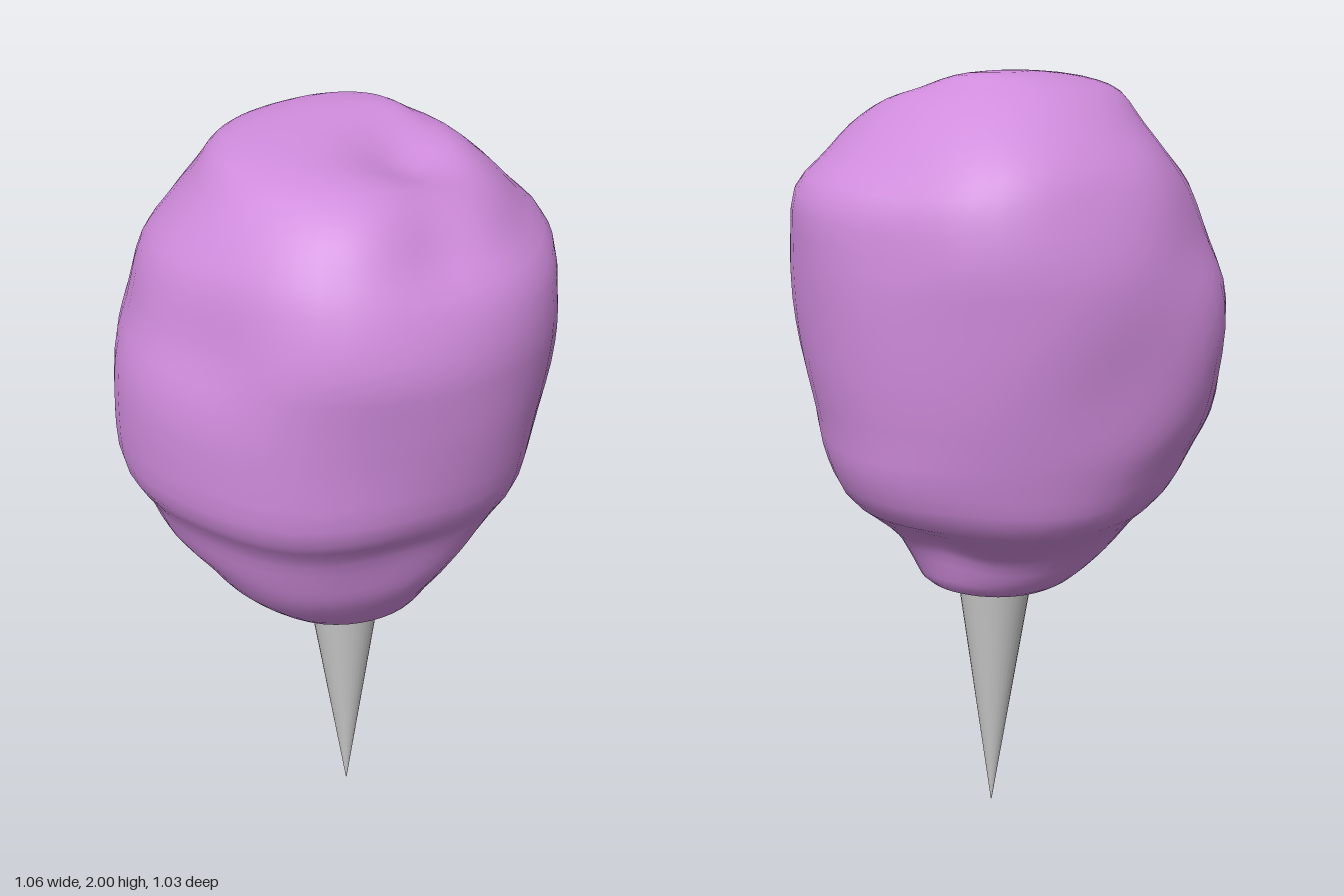
import * as THREE from 'three';

// Floss levels from bottom to top: [y, xMin, xMax, zMin, zMax]
const LEVELS = [
  [0.69, 0.03, 0.03, 0, 0], [0.69, -0.12, 0.13, -0.1, 0.1], [0.72, -0.17, 0.22, -0.19, 0.17],
  [0.77, -0.23, 0.25, -0.24, 0.25], [0.84, -0.31, 0.29, -0.28, 0.31], [0.92, -0.37, 0.36, -0.36, 0.37],
  [1.0, -0.44, 0.44, -0.44, 0.4], [1.1, -0.48, 0.48, -0.47, 0.43], [1.2, -0.525, 0.49, -0.49, 0.49],
  [1.35, -0.53, 0.51, -0.5, 0.5], [1.5, -0.52, 0.525, -0.51, 0.51], [1.61, -0.48, 0.525, -0.51, 0.515],
  [1.73, -0.44, 0.51, -0.48, 0.48], [1.81, -0.38, 0.43, -0.44, 0.44], [1.88, -0.32, 0.36, -0.37, 0.39],
  [1.94, -0.27, 0.29, -0.29, 0.3], [1.97, -0.19, 0.22, -0.24, 0.17], [1.995, -0.05, 0.14, -0.18, -0.03],
  [2.0, 0.05, 0.05, -0.11, -0.11],
];

// Local hollows (positive depth) and swellings (negative): [x, y, z, radius, depth]
const DENTS = [
  [0.16, 1.95, 0.12, 0.13, 0.06], [0.18, 1.86, 0.36, 0.1, 0.03],
  [0.42, 0.98, 0.18, 0.14, 0.04], [0.1, 1.0, 0.42, 0.16, 0.025],
  [-0.3, 1.62, 0.36, 0.14, 0.025], [0.36, 1.68, -0.36, 0.16, 0.025],
  [-0.36, 1.4, -0.38, 0.22, -0.035], [0.3, 1.45, 0.36, 0.22, -0.02],
  [-0.36, 0.95, -0.2, 0.14, 0.025], [0.25, 0.85, -0.2, 0.12, 0.03],
];

function flossGeometry(rows = 48, sides = 48) {
  const curve = (a, b) => new THREE.CatmullRomCurve3(
    LEVELS.map((l) => new THREE.Vector3(l[a], l[0], l[b])), false, 'centripetal');
  const xs = curve(1, 2), zs = curve(3, 4);
  const center = new THREE.Vector3(0, 1.35, 0);
  const positions = [], index = [];
  for (let i = 0; i <= rows; i++) {
    const x = xs.getPoint(i / rows), z = zs.getPoint(i / rows);
    for (let j = 0; j < sides; j++) {
      const a = (j / sides) * Math.PI * 2;
      const p = new THREE.Vector3(
        (x.x + x.z) / 2 + Math.cos(a) * (x.z - x.x) / 2, x.y,
        (z.x + z.z) / 2 + Math.sin(a) * (z.z - z.x) / 2);
      // Push the surface in or out around each dent, plus soft overall lumps
      let push = 0;
      for (const [dx, dy, dz, r, depth] of DENTS) {
        const d2 = (p.x - dx) ** 2 + (p.y - dy) ** 2 + (p.z - dz) ** 2;
        push += depth * Math.exp(-d2 / (r * r));
      }
      const envelope = Math.sin(Math.PI * i / rows);
      push += 0.008 * envelope * Math.sin(11 * p.x + 5 * p.y) * Math.sin(9 * p.z - 7 * p.y);
      p.addScaledVector(center.clone().sub(p).normalize(), push);
      positions.push(p.x, Math.min(p.y, 2), p.z);
      if (i < rows) {
        const n = (j + 1) % sides, q = i * sides;
        index.push(q + j, q + sides + j, q + n, q + n, q + sides + j, q + sides + n);
      }
    }
  }
  const g = new THREE.BufferGeometry();
  g.setAttribute('position', new THREE.Float32BufferAttribute(positions, 3));
  g.setIndex(index);
  g.computeVertexNormals();
  return g;
}

export function createModel() {
  const model = new THREE.Group();
  model.name = 'cottonCandy';

  // Fluffy spun sugar
  const floss = new THREE.Mesh(flossGeometry(),
    new THREE.MeshStandardMaterial({ color: 0xcf8bdb }));
  floss.name = 'floss';

  // Paper cone, point down, leaning very slightly
  const coneGeometry = new THREE.CylinderGeometry(0.105, 0.001, 0.74, 32);
  coneGeometry.translate(0, 0.37, 0);
  const cone = new THREE.Mesh(coneGeometry,
    new THREE.MeshStandardMaterial({ color: 0xcccccc, side: THREE.DoubleSide }));
  cone.name = 'paperCone';
  cone.position.set(0.04, 0, 0.015);
  cone.rotation.set(-0.02, 0, 0.013);

  model.add(floss, cone);
  return model;
}
